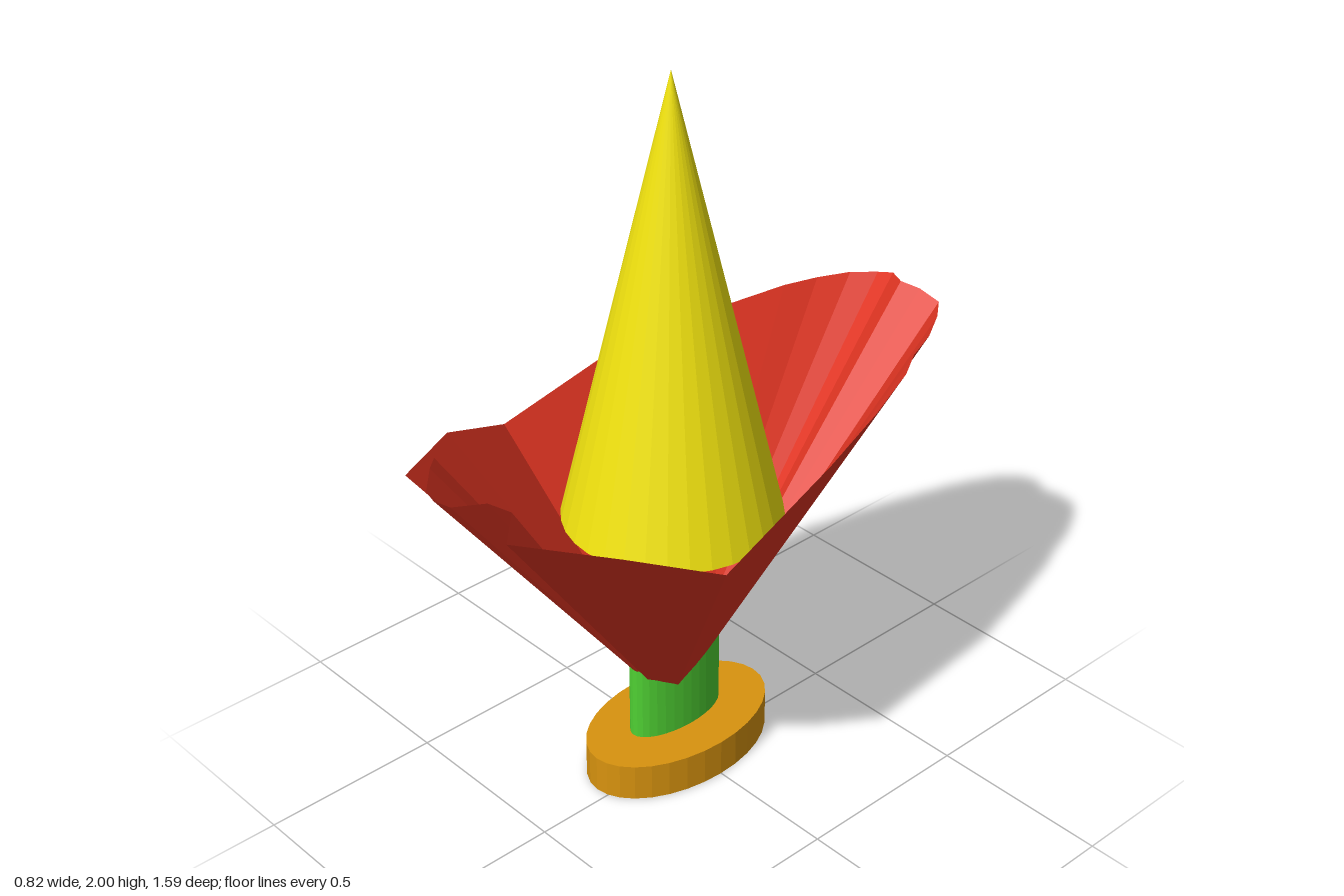
import * as THREE from 'three';

const mat = (color, extra = {}) => new THREE.MeshStandardMaterial({ color, flatShading: true, ...extra });

// Upright elliptical column between two heights
function column(name, color, x, rx, rz, y0, y1) {
  const geo = new THREE.CylinderGeometry(1, 1, y1 - y0, 32);
  geo.scale(rx, 1, rz);
  geo.translate(x, (y0 + y1) / 2, 0);
  const mesh = new THREE.Mesh(geo, mat(color));
  mesh.name = name;
  return mesh;
}

// Pleated rim of the flower, from the left corner around the front to the back: [x, y, z]
const RIM = [
  [0.41, 0.90, 0.25], [0.33, 1.02, 0.50], [0.195, 1.10, 0.73], [0.155, 1.145, 0.68],
  [0.12, 1.17, 0.72], [0.06, 1.157, 0.78], [0.01, 1.155, 0.79], [-0.03, 1.157, 0.78],
  [-0.08, 1.175, 0.73], [-0.13, 1.16, 0.68], [-0.18, 1.11, 0.73], [-0.32, 1.07, 0.50],
  [-0.415, 0.95, 0.25], [-0.37, 1.07, -0.13], [-0.30, 1.10, -0.38], [-0.23, 1.13, -0.57],
  [-0.195, 1.135, -0.66], [-0.15, 1.14, -0.74], [-0.10, 1.14, -0.795], [-0.05, 1.155, -0.80],
  [0.01, 1.165, -0.765], [0.06, 1.155, -0.785], [0.12, 1.135, -0.795], [0.165, 1.13, -0.74],
  [0.21, 1.12, -0.66], [0.24, 1.11, -0.57], [0.27, 1.09, -0.51], [0.32, 1.06, -0.35],
  [0.38, 1.03, -0.13],
];

// Petals: straight folds fanning from one point inside the stem out to the rim
function makePetals() {
  const apex = [-0.05, 0.14, 0.01];
  const pos = [];
  RIM.forEach((p, i) => pos.push(...apex, ...RIM[(i + 1) % RIM.length], ...p));
  const geo = new THREE.BufferGeometry();
  geo.setAttribute('position', new THREE.Float32BufferAttribute(pos, 3));
  geo.computeVertexNormals();
  const mesh = new THREE.Mesh(geo, mat(0xe03422, { side: THREE.DoubleSide }));
  mesh.name = 'petals';
  return mesh;
}

export function createModel() {
  const group = new THREE.Group();
  group.name = 'flower';

  // Oval foot and stem
  group.add(column('base', 0xd8930f, -0.037, 0.175, 0.287, 0, 0.105));
  group.add(column('stem', 0x4fd033, -0.045, 0.067, 0.15, 0.1, 0.38));

  group.add(makePetals());

  // Tall pointed centre
  const cone = new THREE.Mesh(new THREE.ConeGeometry(0.283, 1.19, 32), mat(0xf2e40f));
  cone.name = 'centreCone';
  cone.position.set(0.017, 1.405, 0.062);
  group.add(cone);

  return group;
}
